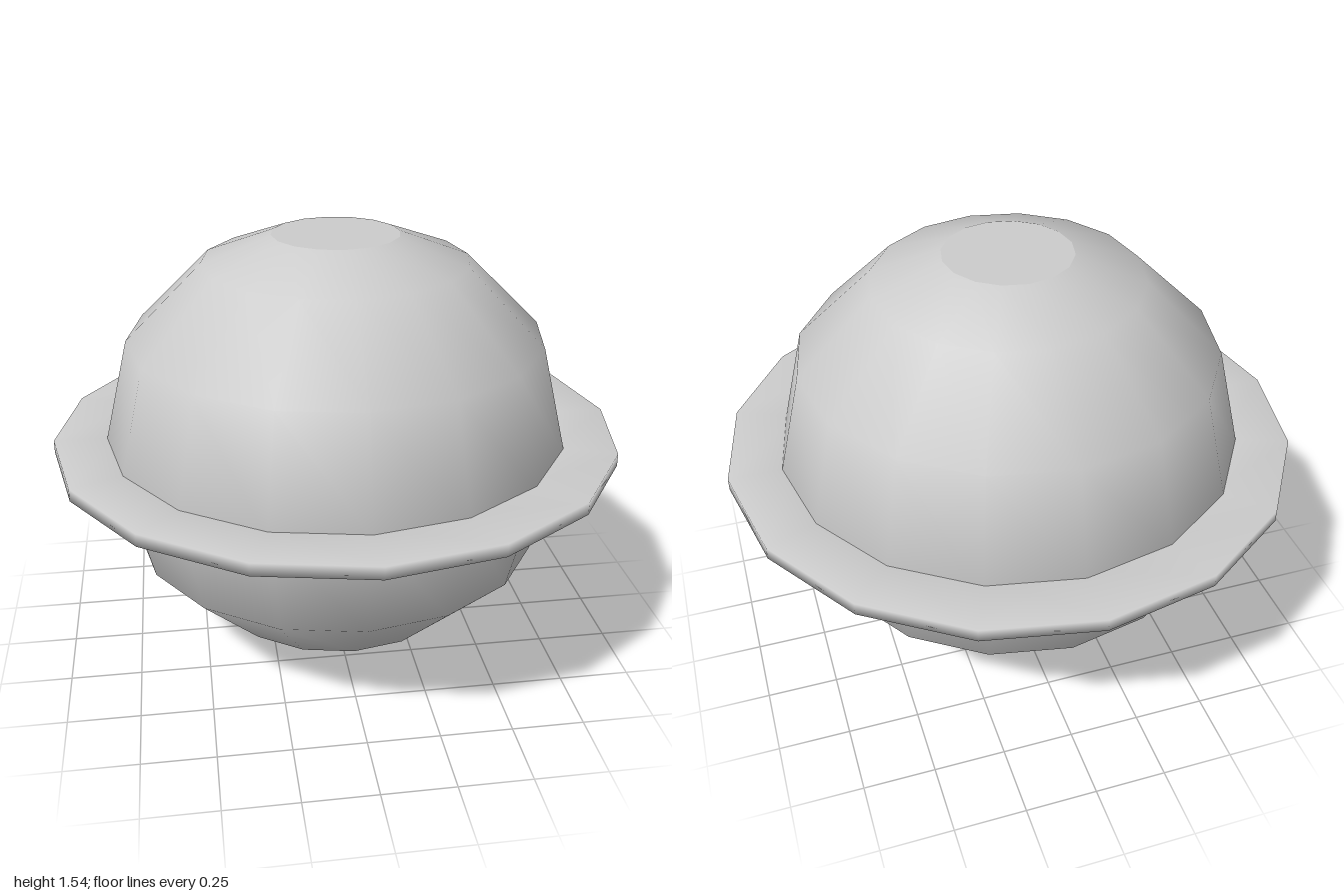
import * as THREE from 'three';

const SIDES = 16;
const MID = 0.81;

function createMaterial() {
  return new THREE.MeshStandardMaterial({ color: 0xcccccc, side: THREE.DoubleSide });
}

// Smooth-shaded solid of revolution from [radius, height] pairs, bottom to top
function turned(name, profile) {
  const points = profile.map(([r, y]) => new THREE.Vector2(r, y));
  const mesh = new THREE.Mesh(new THREE.LatheGeometry(points, SIDES), createMaterial());
  mesh.name = name;
  return mesh;
}

export function createModel() {
  const model = new THREE.Group();
  model.name = 'ringedSphere';

  // Faceted globe, pointed below and cut off flat above
  model.add(turned('globe', [
    [0, 0], [0.46, 0.165], [0.725, 0.425], [0.82, MID],
    [0.725, 1.19], [0.46, 1.45], [0.22, 1.54],
  ]));

  // Flat disc closing the top
  const cap = new THREE.Mesh(new THREE.CircleGeometry(0.22, SIDES), createMaterial());
  cap.name = 'topCap';
  cap.rotation.x = -Math.PI / 2;
  cap.position.y = 1.54;
  model.add(cap);

  // Thin flat ring around the equator, its inner edge buried in the globe
  const half = 0.022;
  model.add(turned('ring', [
    [0.78, MID - half], [1, MID - half], [1, MID + half], [0.78, MID + half], [0.78, MID - half],
  ]));

  return model;
}
